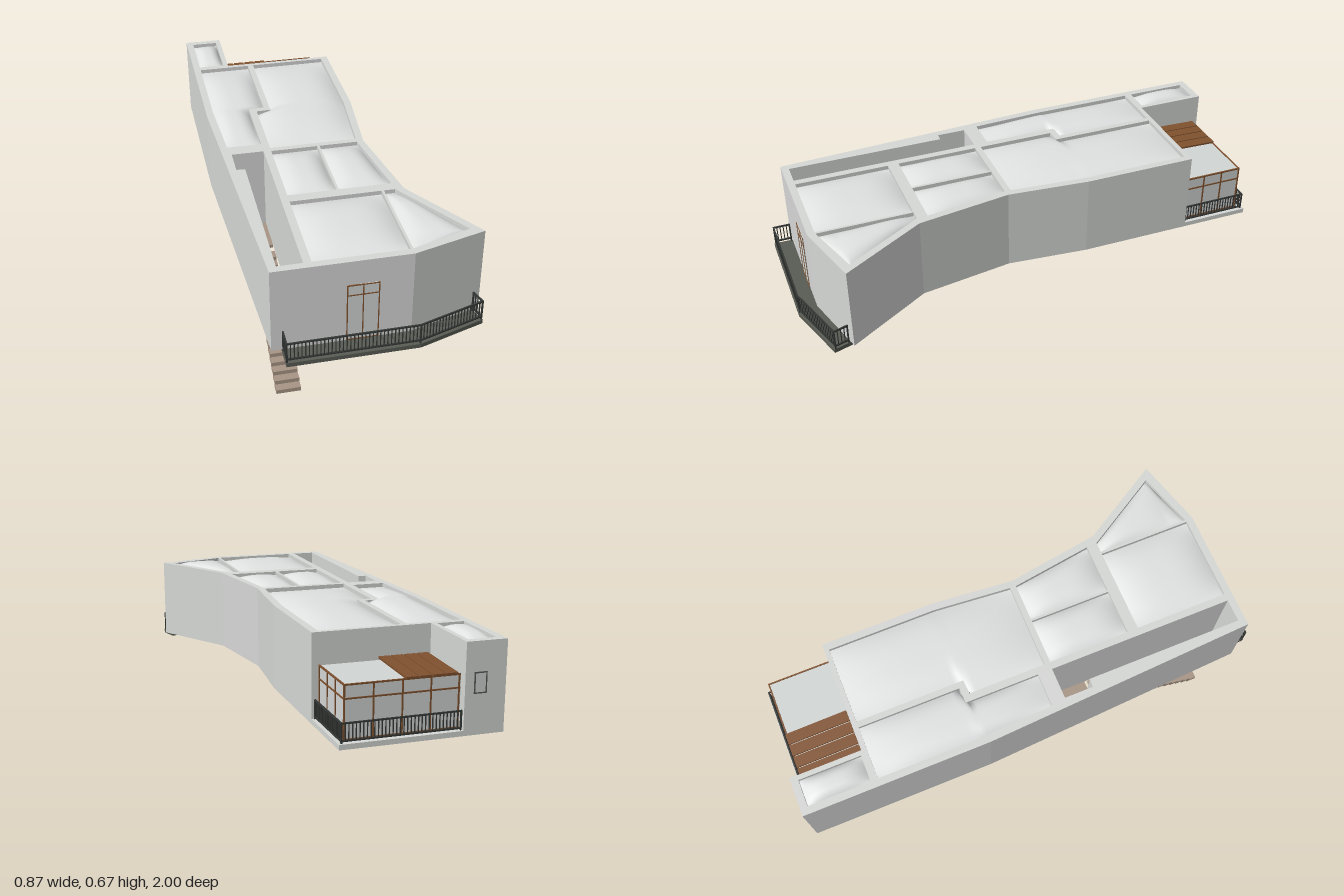
import * as THREE from 'three';

const paint = (name, color) => {
  const m = new THREE.MeshStandardMaterial({ color });
  m.name = name;
  return m;
};

export function createModel() {
  const house = new THREE.Group();
  house.name = 'house';
  const concrete = paint('pale concrete', 0xd6d8d6);
  const roofWhite = paint('roof white', 0xe0e2e1);
  const glass = paint('pale glass', 0xd2d6d5);
  const timber = paint('brown timber', 0x80522f);
  const boards = paint('tan boards', 0xa89686);
  const darkBoards = paint('reddish boards', 0x80605a);
  const tile = paint('teal tile', 0x8fc0c5);
  const iron = paint('dark iron', 0x353936);
  const deck = paint('dark deck', 0x595c54);

  const add = (name, geo, mat, parent = house) => {
    const m = new THREE.Mesh(geo, mat);
    m.name = name;
    parent.add(m);
    return m;
  };
  const group = (name) => {
    const g = new THREE.Group();
    g.name = name;
    house.add(g);
    return g;
  };
  // Box given by its limits
  const box = (name, x0, x1, y0, y1, z0, z1, mat, parent) => {
    const m = add(name, new THREE.BoxGeometry(x1 - x0, y1 - y0, z1 - z0), mat, parent);
    m.position.set((x0 + x1) / 2, (y0 + y1) / 2, (z0 + z1) / 2);
    return m;
  };
  // Square bar between two points
  const bar = (name, a, b, t, mat, parent) => {
    const p = new THREE.Vector3(...a), q = new THREE.Vector3(...b);
    const m = add(name, new THREE.BoxGeometry(t, t, p.distanceTo(q) + t), mat, parent);
    m.position.copy(p).lerp(q, 0.5);
    m.lookAt(q);
    return m;
  };
  // Plan outline [x, z] raised between two heights
  const points = (plan) => plan.map(([x, z]) => new THREE.Vector2(x, -z));
  const slab = (name, plan, y0, y1, mat, holes = []) => {
    const shape = new THREE.Shape(points(plan));
    holes.forEach((h) => shape.holes.push(new THREE.Path(points(h))));
    const geo = new THREE.ExtrudeGeometry(shape, { depth: y1 - y0, bevelEnabled: false });
    geo.rotateX(-Math.PI / 2).translate(0, y0, 0);
    return add(name, geo, mat);
  };

  // Rooms as rows of [z, xMin, xMax]
  const rooms = [
    { name: 'tower', floor: tile, rows: [[-0.97, -0.405, -0.295], [-0.715, -0.405, -0.295]] },
    { name: 'sideRoom', floor: boards, rows: [[-0.685, -0.405, -0.185], [-0.262, -0.405, -0.185], [-0.26, -0.405, -0.25], [0.05, -0.39, -0.25]] },
    { name: 'hall', floor: darkBoards, rows: [[-0.685, -0.16, 0.165], [-0.235, -0.16, 0.165], [-0.232, -0.22, 0.165], [0.09, -0.22, 0.138]] },
    { name: 'middleRoomA', floor: boards, rows: [[0.115, -0.22, -0.03], [0.455, -0.22, -0.03]] },
    { name: 'middleRoomB', floor: boards, rows: [[0.115, -0.02, 0.137], [0.455, -0.02, 0.187]] },
    { name: 'frontRoom', floor: boards, rows: [[0.5, -0.22, 0.136], [0.89, -0.22, 0.136]] },
    { name: 'cornerRoom', floor: boards, rows: [[0.5, 0.146, 0.19], [0.815, 0.146, 0.38], [0.887, 0.146, 0.15]] },
  ];
  const stairwell = [[0.11, -0.38, -0.25], [0.23, -0.38, -0.25], [0.232, -0.345, -0.25], [0.89, -0.345, -0.25]];
  const planOf = (rows) => [
    ...rows.map(([z, x]) => [x, z]),
    ...rows.map(([z, , x]) => [x, z]).reverse(),
  ];

  // Walls with a well for every room
  slab('walls', [
    [-0.435, -1], [-0.275, -1], [-0.275, -0.705], [0.195, -0.705], [0.195, -0.23],
    [0.165, 0.11], [0.225, 0.5], [0.43, 0.84], [0.145, 0.92], [-0.375, 0.92], [-0.435, -0.23],
  ], 0.308, 0.655, concrete, [...rooms.map((r) => planOf(r.rows)), planOf(stairwell)]);

  // Softly domed roof panel filling a room outline
  const pillow = (rows) => {
    const nu = 20, nv = 32, pos = [], index = [];
    const z0 = rows[0][0], z1 = rows[rows.length - 1][0];
    for (let i = 0; i <= nv; i++) {
      const z = z0 + (z1 - z0) * i / nv, v = Math.abs(2 * i / nv - 1);
      let k = 0;
      while (k < rows.length - 2 && z > rows[k + 1][0]) k++;
      const [a, b] = [rows[k], rows[k + 1]];
      const t = (z - a[0]) / (b[0] - a[0]);
      const xl = a[1] + (b[1] - a[1]) * t, xr = a[2] + (b[2] - a[2]) * t;
      for (let j = 0; j <= nu; j++) {
        const u = Math.abs(2 * j / nu - 1);
        pos.push(xl + (xr - xl) * j / nu, 0.638 + 0.027 * (1 - u ** 3) * (1 - v ** 3), z);
        if (i < nv && j < nu) {
          const p = i * (nu + 1) + j, q = p + nu + 1;
          index.push(p, q, p + 1, q, q + 1, p + 1);
        }
      }
    }
    const geo = new THREE.BufferGeometry();
    geo.setAttribute('position', new THREE.Float32BufferAttribute(pos, 3));
    geo.setIndex(index);
    geo.computeVertexNormals();
    return geo;
  };
  rooms.forEach((r) => {
    add(r.name + 'Roof', pillow(r.rows), roofWhite);
    slab(r.name + 'Floor', planOf(r.rows), 0.297, 0.312, r.floor);
  });

  // Landing and open staircase
  slab('landing', [[-0.4, 0.11], [-0.25, 0.11], [-0.25, 0.277], [-0.345, 0.277], [-0.345, 0.23], [-0.4, 0.23]], 0.295, 0.308, boards);
  const stairs = group('stairs'), steps = 16, rise = 0.292 / steps;
  for (let i = 0; i < steps; i++) {
    const z = 0.775 - i * 0.032;
    box('tread', -0.343, -0.247, i * rise, (i + 0.94) * rise, z, z + 0.042, boards, stairs);
  }

  // Railing along a plan path
  const railing = (name, path, y0, y1) => {
    const g = group(name);
    for (let i = 0; i < path.length - 1; i++) {
      const [ax, az] = path[i], [bx, bz] = path[i + 1];
      [y0, y1].forEach((y) => bar('rail', [ax, y, az], [bx, y, bz], 0.006, iron, g));
      const n = Math.max(1, Math.round(Math.hypot(bx - ax, bz - az) / 0.0135));
      for (let j = 0; j <= n; j++) {
        const x = ax + (bx - ax) * j / n, z = az + (bz - az) * j / n;
        box('baluster', x - 0.0018, x + 0.0018, y0, y1, z - 0.0018, z + 0.0018, iron, g);
      }
    }
    path.forEach(([x, z]) => box('post', x - 0.003, x + 0.003, y0 - 0.018, y1, z - 0.003, z + 0.003, iron, g));
  };

  // Front balcony
  slab('balcony', [[-0.335, 0.9], [0.14, 0.9], [0.4, 0.835], [0.423, 0.915], [0.16, 0.998], [-0.335, 0.998]], 0.29, 0.307, deck);
  railing('balconyRailing', [[-0.332, 0.925], [-0.332, 0.992], [0.158, 0.992], [0.418, 0.91], [0.402, 0.855]], 0.32, 0.39);

  // Front door with transom
  const door = group('frontDoor');
  box('doorGlass', -0.1, 0.02, 0.31, 0.555, 0.918, 0.922, glass, door);
  [-0.098, -0.04, 0.018].forEach((x) => bar('doorPost', [x, 0.311, 0.922], [x, 0.553, 0.922], 0.004, timber, door));
  [0.312, 0.51, 0.553].forEach((y) => bar('doorRail', [-0.098, y, 0.922], [0.018, y, 0.922], 0.004, timber, door));

  // Small tower window
  const win = group('towerWindow');
  box('windowGlass', -0.357, -0.312, 0.465, 0.54, -1.002, -0.998, glass, win);
  [-0.357, -0.312].forEach((x) => bar('windowSide', [x, 0.465, -1], [x, 0.54, -1], 0.005, deck, win));
  [0.465, 0.54].forEach((y) => bar('windowEdge', [-0.357, y, -1], [-0.312, y, -1], 0.005, deck, win));

  // Back terrace with glazed room
  box('terraceSlab', -0.275, 0.195, 0.308, 0.328, -1, -0.705, concrete);
  box('terraceRoomFloor', -0.265, 0.165, 0.297, 0.308, -0.97, -0.71, boards);
  railing('terraceRailing', [[-0.27, -0.988], [0.182, -0.988], [0.182, -0.71]], 0.336, 0.4);
  const lounge = group('glazedRoom');
  box('glazing', -0.275, 0.165, 0.328, 0.53, -0.965, -0.705, glass, lounge);
  [-0.268, -0.16, -0.052, 0.057, 0.165].forEach((x) =>
    bar('backMullion', [x, 0.33, -0.965], [x, 0.53, -0.965], 0.006, timber, lounge));
  [-0.88, -0.795, -0.709].forEach((z) =>
    bar('sideMullion', [0.165, 0.33, z], [0.165, 0.53, z], 0.006, timber, lounge));
  [0.332, 0.48, 0.53].forEach((y) => {
    bar('backTransom', [-0.27, y, -0.965], [0.165, y, -0.965], 0.006, timber, lounge);
    bar('sideTransom', [0.165, y, -0.965], [0.165, y, -0.708], 0.006, timber, lounge);
  });
  for (let i = 0; i < 4; i++) {
    const x = -0.262 + i * 0.051;
    box('roofSlat', x, x + 0.046, 0.534, 0.542, -0.97, -0.71, timber, lounge).rotation.x = -0.03;
  }
  return house;
}
